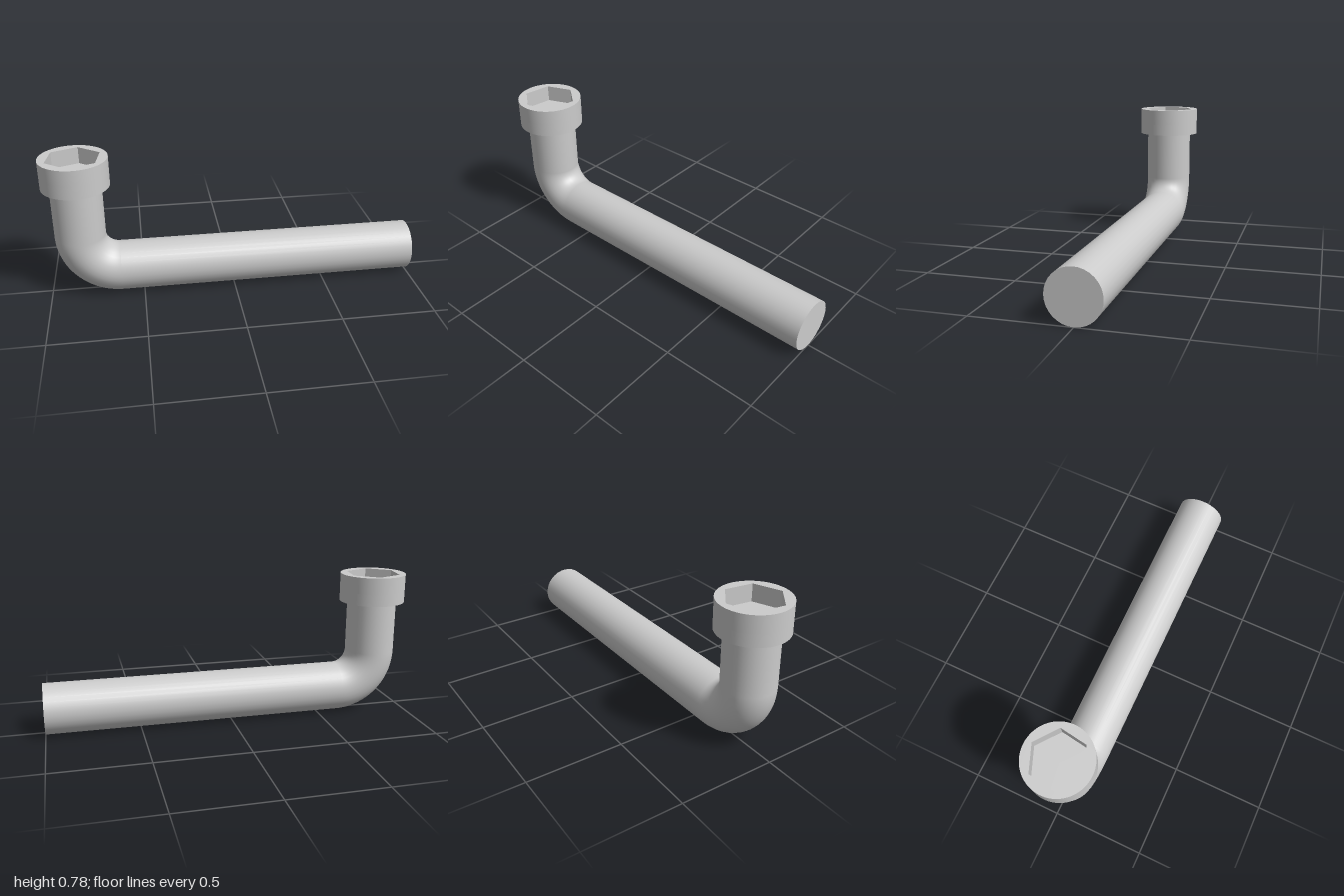
import * as THREE from 'three';
import { toCreasedNormals } from 'three/addons/utils/BufferGeometryUtils.js';

const R = 0.135;        // bar radius
const BEND = 0.205;     // bend radius along the centre line
const AXIS_X = -0.822;  // axis of the upright arm and socket head
const SIDES = 32;
const BEND_X = AXIS_X + BEND, BEND_Y = R + BEND;
const HEAD_R = 0.178, HEAD_BOTTOM = 0.622, FLOOR = 0.687, HEAD_TOP = 0.777;

export function createModel() {
  const group = new THREE.Group();
  const material = new THREE.MeshStandardMaterial({ color: 0xcccccc });
  const add = (name, geometry, x, y) => {
    const mesh = new THREE.Mesh(geometry, material);
    mesh.name = name;
    mesh.position.set(x, y, 0);
    group.add(mesh);
  };

  // long horizontal bar, closed at its free end
  const length = 1 - BEND_X;
  add('longArm', new THREE.CylinderGeometry(R, R, length, SIDES).rotateZ(-Math.PI / 2),
    BEND_X + length / 2, R);

  // quarter-turn elbow
  add('elbow', new THREE.TorusGeometry(BEND, R, SIDES, 20, Math.PI / 2).rotateZ(Math.PI),
    BEND_X, BEND_Y);

  // short upright arm
  const rise = HEAD_BOTTOM - BEND_Y;
  add('shortArm', new THREE.CylinderGeometry(R, R, rise, SIDES), AXIS_X, BEND_Y + rise / 2);

  // solid lower part of the head, whose top is the socket floor
  add('headBase', new THREE.CylinderGeometry(HEAD_R, HEAD_R, FLOOR - HEAD_BOTTOM, 48),
    AXIS_X, (FLOOR + HEAD_BOTTOM) / 2);

  // round collar with a slightly turned hexagonal socket
  const collar = new THREE.Shape().absarc(0, 0, HEAD_R, 0, Math.PI * 2);
  const corners = [];
  for (let i = 0; i < 6; i++) {
    const a = THREE.MathUtils.degToRad(22 + i * 60);
    corners.push(new THREE.Vector2(Math.cos(a), Math.sin(a)).multiplyScalar(0.147));
  }
  collar.holes.push(new THREE.Path(corners));
  const socket = new THREE.ExtrudeGeometry(collar, {
    depth: HEAD_TOP - FLOOR, bevelEnabled: false, curveSegments: 48,
  }).rotateX(-Math.PI / 2);
  add('hexSocket', toCreasedNormals(socket, 0.5), AXIS_X, FLOOR);

  return group;
}
